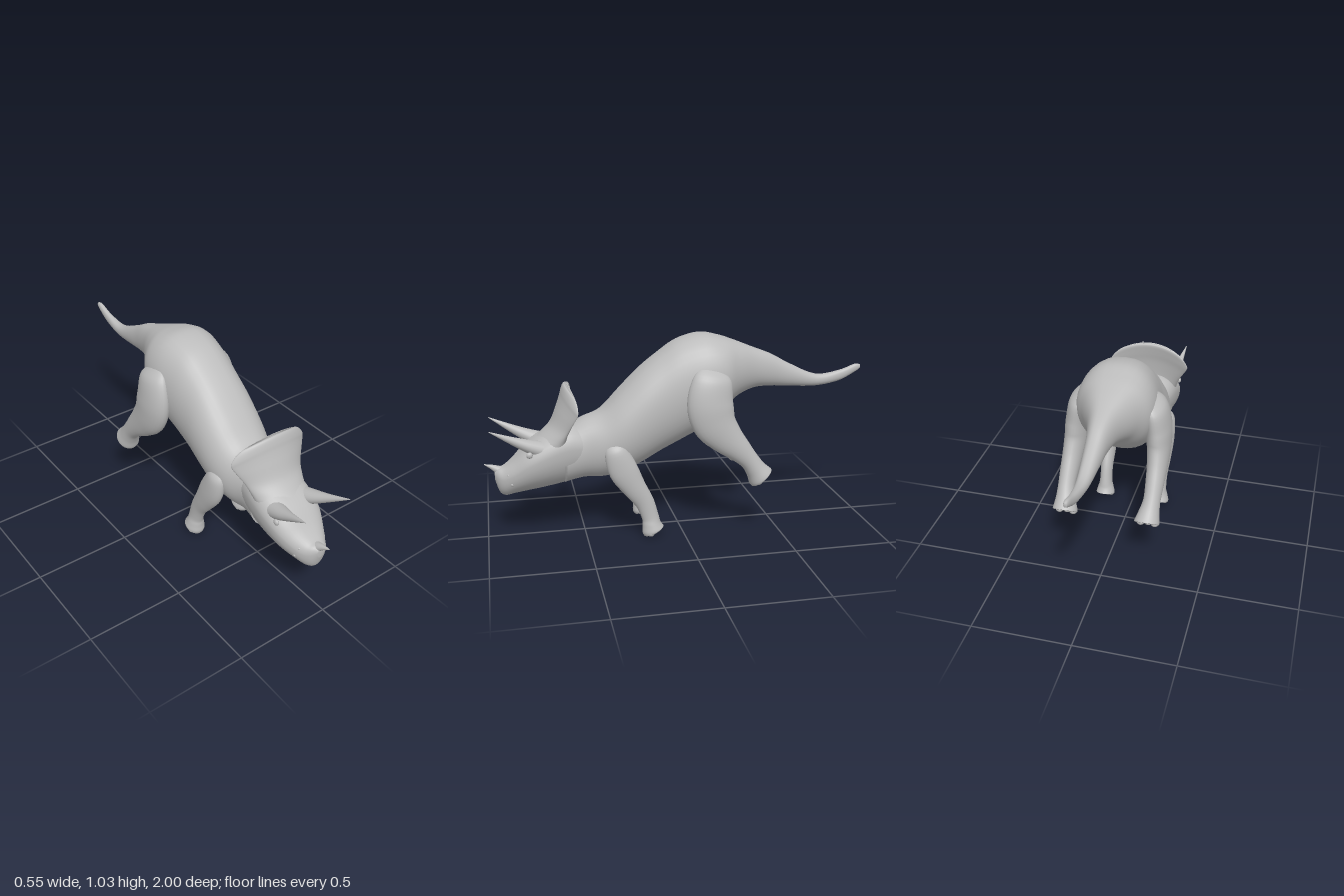
import * as THREE from 'three';

const skin = new THREE.MeshStandardMaterial({ color: 0xbcbcbc });
skin.name = 'stone grey';

// Smoothly interpolates rows of numbers, giving extra rows between the given ones
function refine(rows, steps = 5) {
  const out = [];
  const at = i => rows[Math.max(0, Math.min(rows.length - 1, i))];
  for (let i = 0; i < rows.length - 1; i++) {
    for (let s = 0; s < steps; s++) {
      const t = s / steps;
      out.push(rows[i].map((b, k) => {
        const a = at(i - 1)[k], c = at(i + 1)[k], d = at(i + 2)[k];
        return b + 0.5 * t * (c - a + t * (2 * a - 5 * b + 4 * c - d + t * (3 * (b - c) + d - a)));
      }));
    }
  }
  out.push(rows[rows.length - 1]);
  return out;
}

// Closed smooth skin over rings; ring(row, angle, index, rows) returns a point
function loft(name, keyRows, ring, sides = 36) {
  const rows = refine(keyRows);
  const pos = [], idx = [];
  rows.forEach((row, i) => {
    for (let j = 0; j < sides; j++) pos.push(...ring(row, (j / sides) * Math.PI * 2, i, rows));
  });
  for (let i = 0; i < rows.length - 1; i++) {
    for (let j = 0; j < sides; j++) {
      const a = i * sides + j, b = i * sides + (j + 1) % sides;
      idx.push(a, b, b + sides, a, b + sides, a + sides);
    }
  }
  // End caps
  for (const end of [0, rows.length - 1]) {
    const c = [0, 0, 0], centre = pos.length / 3;
    for (let j = 0; j < sides; j++) for (let k = 0; k < 3; k++) c[k] += pos[(end * sides + j) * 3 + k] / sides;
    pos.push(...c);
    for (let j = 0; j < sides; j++) {
      const a = end * sides + j, b = end * sides + (j + 1) % sides;
      if (end) idx.push(a, b, centre); else idx.push(b, a, centre);
    }
  }
  // Make the faces point outwards
  const P = i => new THREE.Vector3().fromArray(pos, i * 3);
  let volume = 0;
  for (let i = 0; i < idx.length; i += 3) volume += P(idx[i]).dot(P(idx[i + 1]).cross(P(idx[i + 2])));
  if (volume < 0) idx.reverse();
  const geo = new THREE.BufferGeometry();
  geo.setAttribute('position', new THREE.Float32BufferAttribute(pos, 3));
  geo.setIndex(idx);
  geo.computeVertexNormals();
  const mesh = new THREE.Mesh(geo, skin);
  mesh.name = name;
  return mesh;
}

const power = (v, e) => Math.sign(v) * Math.abs(v) ** e;

// Upright ring: row = z, top, bottom, half width; waist = height of the widest point
const uprightRing = (waist, upper, lower) => ([z, top, bottom, hw], a) => {
  const c = Math.cos(a), s = Math.sin(a);
  const mid = bottom + (top - bottom) * waist;
  return [hw * power(c, s > 0 ? upper : lower), mid + s * (s > 0 ? top - mid : mid - bottom), z];
};

// Limb ring square to its path: row = x, y, z, side radius, fore-aft radius
const limbRing = side => ([x, y, z, rx, rs], a, i, rows) => {
  const p = rows[Math.max(0, i - 1)], n = rows[Math.min(rows.length - 1, i + 1)];
  const dy = n[1] - p[1], dz = n[2] - p[2], len = Math.hypot(dy, dz) || 1;
  const s = Math.sin(a) * rs;
  return [side * (x + Math.cos(a) * rx), y + s * dz / len, z - s * dy / len];
};

// Frill ring: row = y, half width, front z, back z, side drop, side sweep
const frillRing = ([y, hw, front, back, drop, sweep], a) => {
  const u = Math.cos(a);
  return [hw * u, y - drop * u * u, (front + back) / 2 + Math.sin(a) * (front - back) / 2 - sweep * u * u];
};

function ball(name, x, y, z, r, sx = 1, sy = 1, sz = 1) {
  const mesh = new THREE.Mesh(new THREE.SphereGeometry(r, 16, 12), skin);
  mesh.position.set(x, y, z);
  mesh.scale.set(sx, sy, sz);
  mesh.name = name;
  return mesh;
}

export function createModel() {
  const model = new THREE.Group();
  model.name = 'hornedDinosaur';

  // Torso with neck and tail
  model.add(loft('bodyAndTail', [
    [-1.0, 0.825, 0.805, 0.008], [-0.97, 0.828, 0.785, 0.014], [-0.88, 0.798, 0.742, 0.02],
    [-0.75, 0.785, 0.722, 0.031], [-0.6, 0.85, 0.728, 0.045], [-0.5, 0.905, 0.735, 0.057],
    [-0.4, 0.945, 0.73, 0.085], [-0.3, 0.985, 0.69, 0.14], [-0.22, 1.012, 0.62, 0.19],
    [-0.12, 1.03, 0.54, 0.203], [0, 1.0, 0.475, 0.192], [0.1, 0.935, 0.425, 0.185],
    [0.2, 0.855, 0.37, 0.185], [0.3, 0.755, 0.325, 0.18], [0.4, 0.655, 0.305, 0.16],
    [0.5, 0.615, 0.305, 0.132], [0.6, 0.56, 0.285, 0.135],
  ], uprightRing(0.5, 0.78, 0.85)));

  // Head tapering to a beak
  model.add(loft('head', [
    [0.45, 0.55, 0.325, 0.11], [0.52, 0.585, 0.305, 0.132], [0.6, 0.595, 0.28, 0.147],
    [0.7, 0.55, 0.262, 0.15], [0.78, 0.497, 0.25, 0.138], [0.85, 0.425, 0.238, 0.105],
    [0.9, 0.385, 0.228, 0.074], [0.93, 0.375, 0.25, 0.05], [0.95, 0.36, 0.315, 0.02],
  ], uprightRing(0.64, 0.72, 1.1)));

  // Neck frill
  model.add(loft('neckFrill', [
    [0.42, 0.13, 0.79, 0.58, 0, 0.02], [0.5, 0.142, 0.765, 0.585, 0, 0.04],
    [0.545, 0.152, 0.715, 0.588, 0.005, 0.04], [0.60, 0.168, 0.662, 0.588, 0.015, 0.04],
    [0.68, 0.198, 0.628, 0.58, 0.04, 0.046], [0.73, 0.215, 0.61, 0.57, 0.057, 0.048],
    [0.76, 0.219, 0.602, 0.564, 0.066, 0.046], [0.783, 0.203, 0.594, 0.56, 0.06, 0.039],
    [0.794, 0.175, 0.587, 0.562, 0.043, 0.03], [0.797, 0.15, 0.58, 0.57, 0.031, 0.024],
  ], frillRing, 48));

  // Nose horn
  model.add(loft('noseHorn', [
    [0, 0.335, 0.89, 0.032, 0.035], [0, 0.36, 0.925, 0.025, 0.024],
    [0, 0.38, 0.96, 0.013, 0.013], [0, 0.397, 1.0, 0.002, 0.002],
  ], limbRing(1), 20));

  for (const side of [1, -1]) {
    const label = side > 0 ? 'left' : 'right';

    // Brow horns
    model.add(loft(label + 'BrowHorn', [
      [0.085, 0.475, 0.69, 0.05, 0.048], [0.099, 0.508, 0.77, 0.039, 0.034],
      [0.115, 0.548, 0.855, 0.02, 0.02], [0.135, 0.605, 0.965, 0.002, 0.002],
    ], limbRing(side), 20));

    // Front leg
    model.add(loft(label + 'FrontLeg', [
      [0.148, 0.508, 0.36, 0.015, 0.03], [0.155, 0.47, 0.348, 0.038, 0.058],
      [0.161, 0.37, 0.312, 0.041, 0.074], [0.16, 0.27, 0.255, 0.038, 0.06],
      [0.158, 0.19, 0.205, 0.033, 0.049], [0.157, 0.11, 0.177, 0.034, 0.044],
      [0.157, 0.07, 0.17, 0.043, 0.048], [0.157, 0.04, 0.163, 0.051, 0.057],
      [0.157, 0.03, 0.159, 0.049, 0.055],
    ], limbRing(side), 28));

    // Hind leg
    model.add(loft(label + 'HindLeg', [
      [0.165, 0.875, -0.15, 0.02, 0.055], [0.191, 0.825, -0.14, 0.052, 0.1],
      [0.207, 0.71, -0.124, 0.062, 0.118], [0.213, 0.61, -0.145, 0.06, 0.112],
      [0.219, 0.53, -0.205, 0.052, 0.088], [0.222, 0.46, -0.275, 0.046, 0.064],
      [0.222, 0.4, -0.33, 0.043, 0.05], [0.216, 0.35, -0.365, 0.052, 0.054],
      [0.212, 0.31, -0.392, 0.063, 0.067], [0.212, 0.302, -0.398, 0.061, 0.065],
    ], limbRing(side), 28));

    // Toes along the front edge of each foot
    for (const k of [-1, 0, 1]) {
      const back = Math.abs(k) * 0.014;
      model.add(ball(label + 'FrontToe', side * (0.157 + k * 0.029), 0.02 + back * 0.4, 0.192 - back, 0.019, 1, 0.9, 1));
      model.add(ball(label + 'HindToe', side * (0.212 + k * 0.036), 0.287 + back * 0.4, -0.36 - back, 0.021, 1, 0.9, 1));
    }

    // Eye, nostril and cheek bumps
    model.add(ball(label + 'Eye', side * 0.133, 0.472, 0.775, 0.016, 0.7, 1, 1));
    model.add(ball(label + 'Nostril', side * 0.075, 0.355, 0.88, 0.009));
    model.add(ball(label + 'CheekBump', side * 0.084, 0.308, 0.865, 0.009));
  }
  return model;
}
